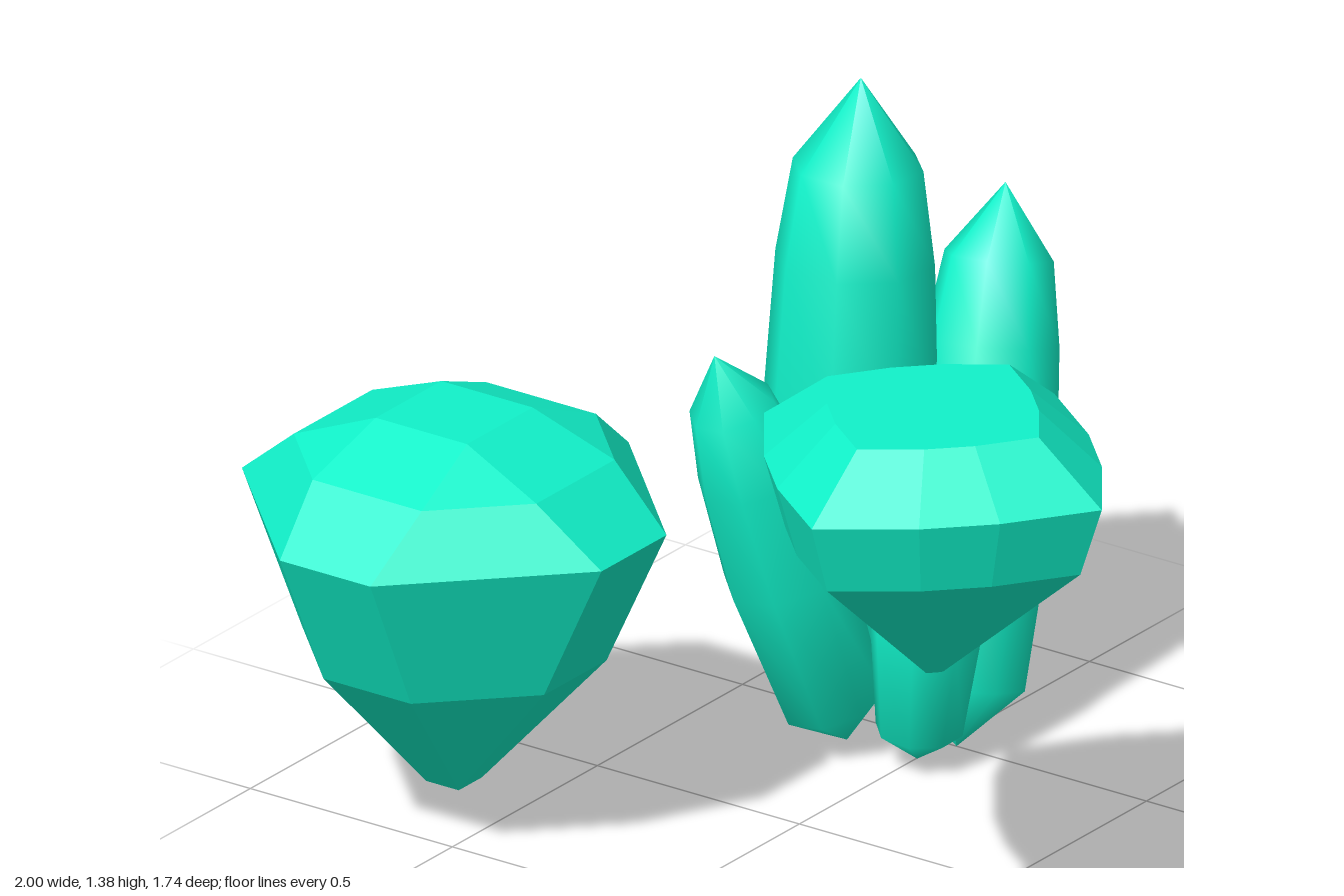
import * as THREE from 'three';

const COLOR = 0x11f2ca;

// Turns one quarter of a ring [x, z] into the whole ring by 90 degree steps
function fourfold(quarter) {
  const ring = [];
  for (let q = 0; q < 4; q++) {
    for (const [x, z] of quarter) {
      let p = [x, z];
      for (let k = 0; k < q; k++) p = [p[1], -p[0]];
      ring.push(p);
    }
  }
  return ring;
}

// Faceted solid through a stack of rings (bottom to top), capped at both ends
function loft(rings) {
  const pos = [];
  const n = rings[0].length;
  const tri = (a, b, c) => pos.push(...a, ...b, ...c);
  for (let r = 0; r < rings.length - 1; r++) {
    const lo = rings[r], up = rings[r + 1];
    for (let i = 0; i < n; i++) {
      const j = (i + 1) % n;
      tri(lo[i], lo[j], up[j]);
      tri(lo[i], up[j], up[i]);
    }
  }
  const bottom = rings[0], top = rings[rings.length - 1];
  for (let i = 1; i < n - 1; i++) {
    tri(bottom[0], bottom[i + 1], bottom[i]);
    tri(top[0], top[i], top[i + 1]);
  }
  const geo = new THREE.BufferGeometry();
  geo.setAttribute('position', new THREE.Float32BufferAttribute(pos, 3));
  geo.computeVertexNormals();
  return geo;
}

// Smooth eight-sided crystal from its foot to its tip; profile is [radius, fraction of length]
function crystal(name, foot, tip, profile, material) {
  const a = new THREE.Vector3(...foot);
  const axis = new THREE.Vector3(...tip).sub(a);
  const len = axis.length();
  const points = [[0, 0], ...profile, [0, 1]].map(([r, t]) => new THREE.Vector2(r, t * len));
  const mesh = new THREE.Mesh(new THREE.LatheGeometry(points, 8, Math.PI / 8), material);
  mesh.name = name;
  mesh.position.copy(a);
  mesh.quaternion.setFromUnitVectors(new THREE.Vector3(0, 1, 0), axis.normalize());
  return mesh;
}

export function createModel() {
  const group = new THREE.Group();
  group.name = 'gemsAndCrystals';
  const facet = new THREE.MeshStandardMaterial({ color: COLOR, flatShading: true });
  const smooth = new THREE.MeshStandardMaterial({ color: COLOR });

  // Domed gem with an octagonal outline: [height, half width, half length of flat side]
  const domed = [
    [0.105, 0.04, 0.04], [0.405, 0.3, 0.108], [0.715, 0.445, 0.112],
    [0.835, 0.3, 0.135], [0.91, 0.113, 0.113],
  ].map(([y, h, f]) => fourfold([[-f, h], [f, h]]).map(([x, z]) => [x, y, z]));
  const domedGem = new THREE.Mesh(loft(domed), facet);
  domedGem.name = 'domedGem';
  domedGem.position.set(-0.555, 0, 0.417);
  group.add(domedGem);

  // Flat-topped gem with a bowed diamond outline: [height, half width]
  const table = [[0.615, 0.025], [0.915, 0.365], [1.07, 0.418], [1.19, 0.262]]
    .map(([y, h]) => fourfold([[0, 1], [0.42, 0.7], [0.7, 0.42]]).map(([x, z]) => [x * h, y, z * h]));
  const tableGem = new THREE.Mesh(loft(table), facet);
  tableGem.name = 'tableGem';
  tableGem.position.set(0.582, 0, 0.35);
  group.add(tableGem);

  // Cluster of four leaning crystals
  const cluster = new THREE.Group();
  cluster.name = 'crystalCluster';
  cluster.add(
    crystal('tallCrystal', [-0.235, 0, -0.47], [-0.25, 1.375, -0.56],
      [[0.15, 0.09], [0.18, 0.5], [0.165, 0.72], [0.135, 0.865]], smooth),
    crystal('backCrystal', [0.03, 0, -0.5], [-0.075, 1.1, -0.815],
      [[0.13, 0.11], [0.16, 0.47], [0.14, 0.72], [0.113, 0.87]], smooth),
    crystal('frontCrystal', [-0.155, 0.01, -0.38], [-0.275, 0.925, -0.09],
      [[0.11, 0.11], [0.135, 0.45], [0.12, 0.7], [0.09, 0.87]], smooth),
    crystal('shortCrystal', [0.015, 0.01, -0.385], [0.08, 0.755, -0.37],
      [[0.09, 0.09], [0.116, 0.4], [0.107, 0.6], [0.088, 0.76]], smooth),
  );
  group.add(cluster);
  return group;
}
